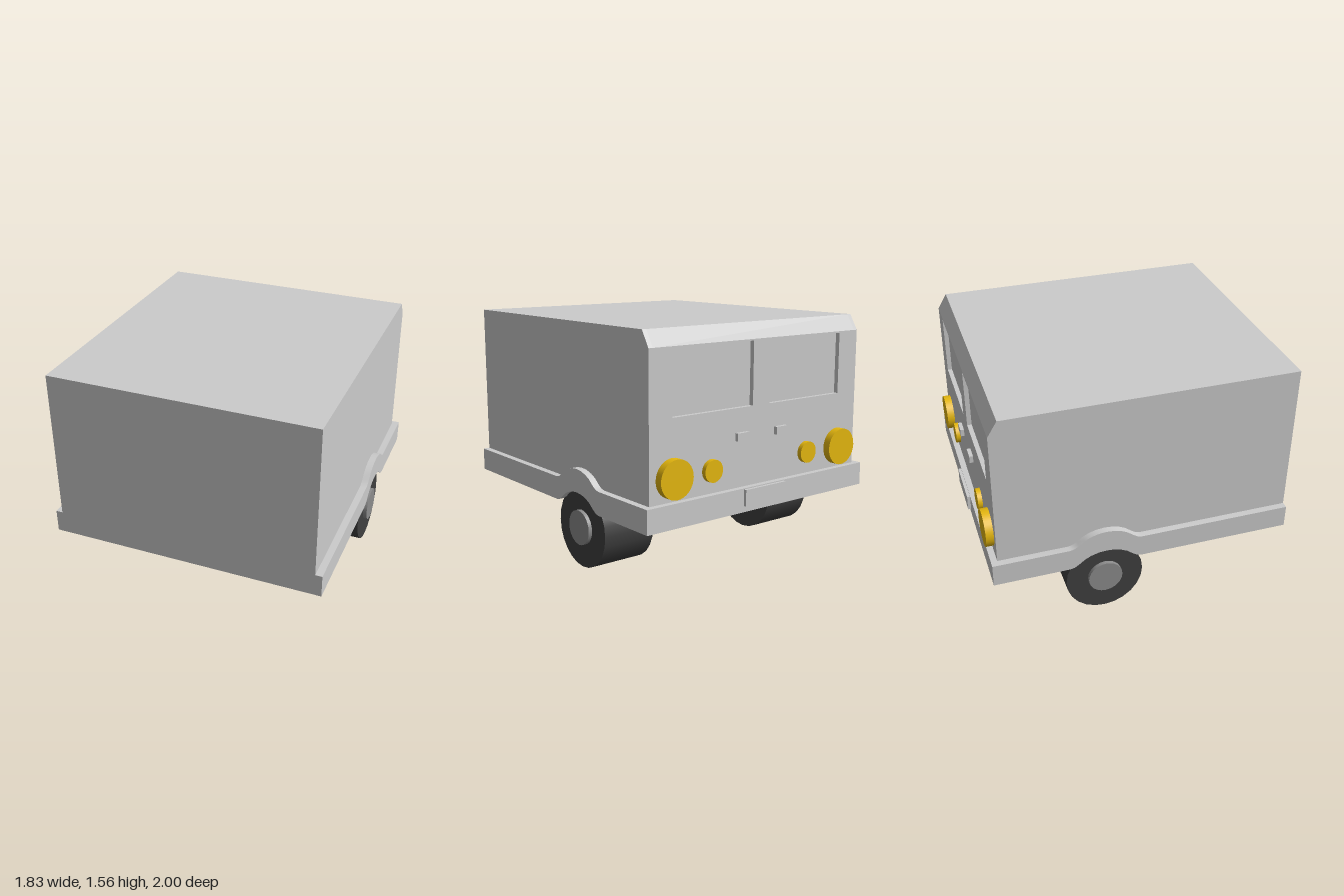
import * as THREE from 'three';
import { toCreasedNormals } from 'three/addons/utils/BufferGeometryUtils.js';

const grey = new THREE.MeshStandardMaterial({ color: 0xcccccc });
const yellow = new THREE.MeshStandardMaterial({ color: 0xe6b80f });
const rubber = new THREE.MeshStandardMaterial({ color: 0x404040 });
const hubGrey = new THREE.MeshStandardMaterial({ color: 0x8c8c8c });

const AXLE_Z = -0.25;
const FLOOR = 0.4;
const BELT_H = 0.152;

// Wheel arch rise above a straight edge: [distance from axle, rise]
const half = [[0.24, 0], [0.21, 0.006], [0.18, 0.025], [0.14, 0.057], [0.1, 0.077], [0.05, 0.091]];
const arch = [...half, [0, 0.095], ...half.map(([d, r]) => [-d, r]).reverse()];
// Arch points at a base height, running from front (+z) to back (-z)
const archAt = (y) => arch.map(([d, r]) => [AXLE_Z + d, y + r]);

const toPoints = (pts) => pts.map(([x, y]) => new THREE.Vector2(x, y));
const rectHole = (x0, x1, y0, y1) =>
  new THREE.Path(toPoints([[x0, y0], [x0, y1], [x1, y1], [x1, y0]]));

export function createModel() {
  const model = new THREE.Group();

  const add = (name, geometry, material = grey, x = 0, y = 0, z = 0) => {
    const mesh = new THREE.Mesh(geometry, material);
    mesh.name = name;
    mesh.position.set(x, y, z);
    model.add(mesh);
    return mesh;
  };

  const extrude = (pts, depth, holes = []) => {
    const shape = new THREE.Shape(toPoints(pts));
    shape.holes.push(...holes);
    return new THREE.ExtrudeGeometry(shape, { depth, bevelEnabled: false });
  };

  // Extrudes a (z, y) profile across x from x0 to x1
  const across = (pts, x0, x1, holes) =>
    toCreasedNormals(extrude(pts, x1 - x0, holes).rotateY(-Math.PI / 2).translate(x1, 0, 0), 0.5);

  // Body core, with the wheel tunnel through its underside
  const underside = [[1, FLOOR], ...archAt(FLOOR)];
  const roof = [[-0.94, 1.46], [-0.88, 1.56], [1, 1.56]];
  add('bodyCore', across([...underside, [-0.91, FLOOR], [-0.91, 1.455], ...roof], -0.84, 0.84));

  // Side walls with recessed windows
  const wall = [...underside, [-0.94, FLOOR], ...roof];
  for (const [name, x0] of [['leftWall', 0.84], ['rightWall', -0.87]]) {
    add(name, across(wall, x0, x0 + 0.03, [
      rectHole(0.23, 0.92, 1.06, 1.46),
      rectHole(-0.75, 0.03, 1.06, 1.46),
    ]));
  }

  // Back wall with two recessed windows
  add('backWall', extrude(
    [[-0.84, FLOOR], [0.84, FLOOR], [0.84, 1.46], [-0.84, 1.46]], 0.03,
    [rectHole(0.07, 0.7, 1.05, 1.45), rectHole(-0.7, -0.07, 1.05, 1.45)],
  ), grey, 0, 0, -0.94);

  // Skirt along both sides, arched over the wheels, and across the back
  const skirt = [
    ...underside, [-0.98, FLOOR], [-0.98, FLOOR + BELT_H],
    ...archAt(FLOOR + BELT_H).reverse(), [1, FLOOR + BELT_H],
  ];
  add('leftSkirt', across(skirt, 0.87, 0.915));
  add('rightSkirt', across(skirt, -0.915, -0.87));
  add('backBumper', new THREE.BoxGeometry(1.74, BELT_H, 0.04), grey, 0, FLOOR + BELT_H / 2, -0.96);
  add('backPlate', new THREE.BoxGeometry(0.34, 0.105, 0.02), grey, 0, 0.493, -0.99);

  for (const [side, s] of [['left', 1], ['right', -1]]) {
    // Lamps and small handles on the back
    const lamp = (r, depth) => new THREE.CylinderGeometry(r, r, depth, 32).rotateX(Math.PI / 2);
    add(side + 'LargeLamp', lamp(0.121, 0.05), yellow, s * 0.702, 0.695, -0.965);
    add(side + 'SmallLamp', lamp(0.07, 0.03), yellow, s * 0.405, 0.695, -0.955);
    add(side + 'Handle', new THREE.BoxGeometry(0.095, 0.05, 0.025), grey, s * 0.165, 0.873, -0.9525);

    // Tyre and hub
    const disc = (r, width, sides) => new THREE.CylinderGeometry(r, r, width, sides).rotateZ(Math.PI / 2);
    add(side + 'Tyre', disc(0.257, 0.37, 24), rubber, s * 0.695, 0.257, AXLE_Z);
    add(side + 'Hub', disc(0.113, 0.405, 24), hubGrey, s * 0.7025, 0.263, AXLE_Z);
  }

  return model;
}
